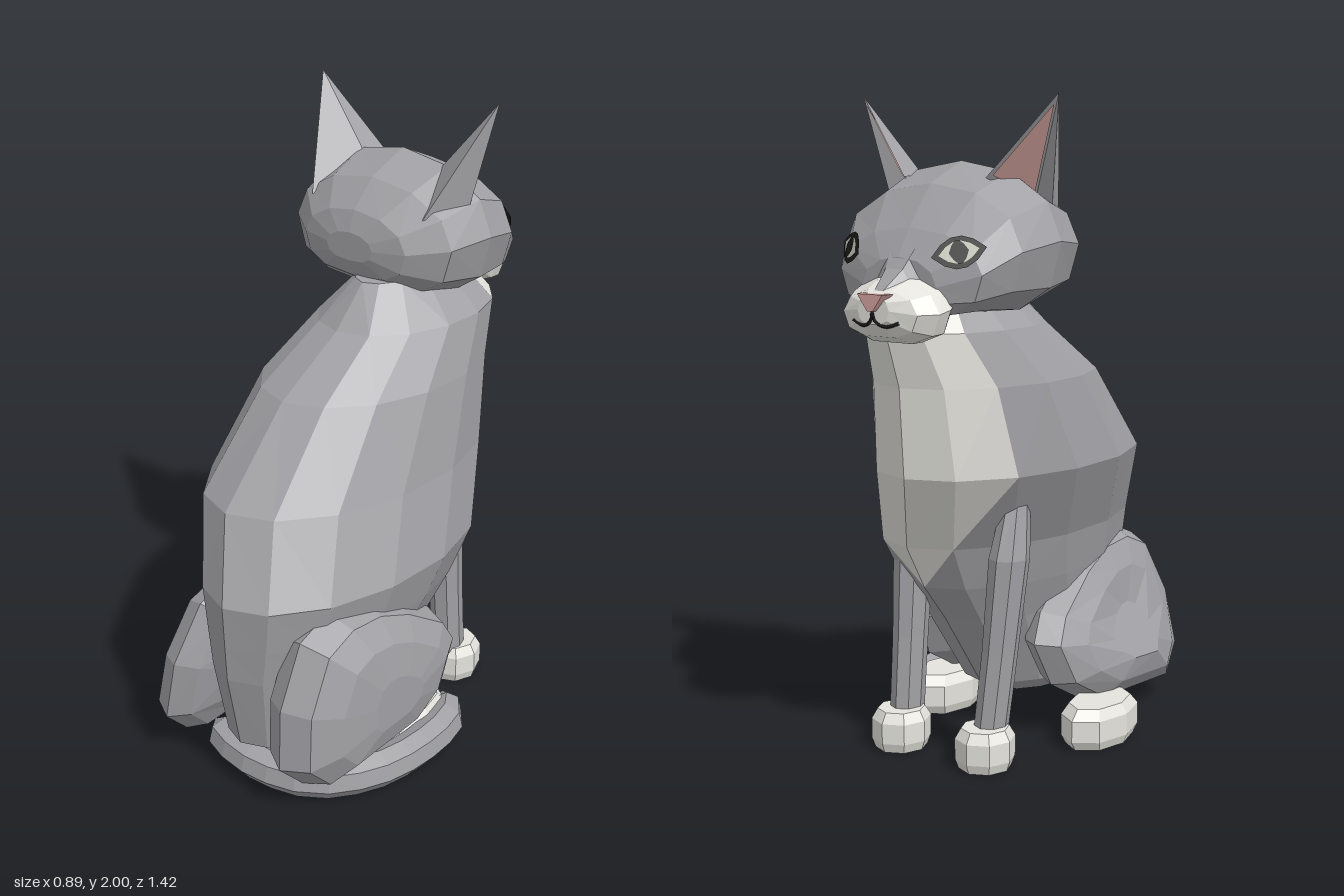
import * as THREE from 'three';

const mat = (name, color, side = THREE.FrontSide) => {
  const m = new THREE.MeshStandardMaterial({ color, side });
  m.name = name;
  return m;
};
const HX = -0.09; // head centre line

// Horizontal ring, counter-clockwise from above, starting at +z
const ringY = (n, y, cx, cz, rx, rz) => Array.from({ length: n }, (_, j) => {
  const t = (j / n) * Math.PI * 2;
  return [cx + rx * Math.sin(t), y, cz + rz * Math.cos(t)];
});
// Upright ring facing z, with a fuller lower half for cheeks and jaw
const ringZ = (n, z, cx, cy, rx, ry) => Array.from({ length: n }, (_, j) => {
  const t = (j / n) * Math.PI * 2, c = Math.cos(t), s = Math.sin(t);
  const full = (v) => (s < -0.01 ? Math.sign(v) * Math.abs(v) ** 0.75 : v);
  return [cx + rx * full(c), cy + ry * full(s), z];
});

// Faceted, capped skin through rings; isSecond picks triangles for the second material
function loft(rings, isSecond = () => false, flip = false) {
  const parts = [[], []];
  const tri = (k, a, b, c) => parts[k].push(...a, ...(flip ? c : b), ...(flip ? b : c));
  const n = rings[0].length;
  const mid = (r) => [0, 1, 2].map((k) => r.reduce((s, p) => s + p[k], 0) / n);
  for (let i = 0; i < rings.length - 1; i++) {
    for (let j = 0; j < n; j++) {
      const q = (j + 1) % n, low = isSecond(i, j, false) ? 1 : 0, top = isSecond(i, j, true) ? 1 : 0;
      const a = rings[i][j], b = rings[i][q], c = rings[i + 1][q], d = rings[i + 1][j];
      // diagonals mirror across the middle
      tri(low, a, b, j < n / 2 ? d : c);
      tri(top, j < n / 2 ? b : a, c, d);
    }
  }
  const first = rings[0], last = rings[rings.length - 1], c0 = mid(first), c1 = mid(last);
  for (let j = 0; j < n; j++) {
    const q = (j + 1) % n;
    tri(0, c0, first[q], first[j]);
    tri(0, c1, last[j], last[q]);
  }
  const g = new THREE.BufferGeometry();
  g.setAttribute('position', new THREE.Float32BufferAttribute([...parts[0], ...parts[1]], 3));
  g.addGroup(0, parts[0].length / 3, 0);
  g.addGroup(parts[0].length / 3, parts[1].length / 3, 1);
  g.computeVertexNormals();
  return g;
}

function triangles(points) {
  const g = new THREE.BufferGeometry();
  g.setAttribute('position', new THREE.Float32BufferAttribute(points.flatMap((p) => p.toArray()), 3));
  g.computeVertexNormals();
  return g;
}

export function createModel() {
  const grey = mat('grey fur', 0xa1a0a4);
  const earGrey = mat('grey ear fur', 0xa1a0a4, THREE.DoubleSide);
  const white = mat('white fur', 0xe4e3dd);
  const pink = mat('pink skin', 0xd5a5a0, THREE.DoubleSide);
  const black = mat('black', 0x1b1b19, THREE.DoubleSide);
  const pale = mat('pale eye', 0xc8cabb, THREE.DoubleSide);

  const cat = new THREE.Group();
  cat.name = 'sittingCat';
  const add = (name, geo, material, parent = cat) => {
    const m = new THREE.Mesh(geo, material);
    m.name = name;
    parent.add(m);
    return m;
  };

  // Body: y, centre x, half width, front z, back z
  const bodyRings = [
    [0.1, 0.03, 0.14, 0.08, 0.55], [0.15, 0.03, 0.19, -0.02, 0.64], [0.4, 0.035, 0.24, -0.2, 0.69],
    [0.52, 0.04, 0.275, -0.3, 0.7], [0.66, 0.045, 0.31, -0.38, 0.71], [0.9, -0.04, 0.335, -0.5, 0.6],
    [1.17, -0.045, 0.295, -0.525, 0.34], [1.33, -0.03, 0.235, -0.565, 0.11], [1.46, -0.02, 0.11, -0.45, 0],
  ].map(([y, cx, w, f, b]) => ringY(14, y, cx, (f + b) / 2, w, (b - f) / 2));
  // White chest, tapering to a point between the front legs
  const chest = (i, j, top) => {
    const inner = j === 6 || j === 7, outer = j === 5 || j === 8;
    return (inner && (i >= 4 || (i === 3 && top))) || (outer && (i >= 5 || (i === 4 && top)));
  };
  add('body', loft(bodyRings, chest), [grey, white]);

  // Haunches: side outline (z, y), scaled across the thickness; the right one leans out
  const outline = [[0.7, 0.18], [0.69, 0.38], [0.6, 0.57], [0.48, 0.62], [0.34, 0.61], [0.19, 0.55],
    [0, 0.43], [-0.06, 0.34], [0, 0.2], [0.16, 0.11], [0.6, 0.08]];
  for (const s of [1, -1]) {
    const drop = s < 0 ? 0.02 : 0;
    const rings = [[0.1, 0.6], [0.17, 0.88], [0.25, 1], [0.34, 0.9], [0.39, 0.65], [0.41, 0.3]].map(([x, k]) =>
      outline.map(([z, y]) => [s > 0 ? x : -0.015 - x * 0.82 + (y - 0.25) * 0.18,
        0.3 + (y - 0.3) * k - drop, 0.33 + (z - 0.33) * k]));
    add(s > 0 ? 'leftHaunch' : 'rightHaunch', loft(rings, undefined, s > 0), grey);
  }

  // Paws
  const paw = (name, x, z, rx, rz, h) => add(name, loft([[0, 0.88], [0.03, 1], [h * 0.75, 1], [h, 0.8]]
    .map(([y, k]) => ringY(8, y, x, z, rx * k, rz * k))), white);
  paw('hindPaw', -0.345, 0.105, 0.1, 0.165, 0.13);
  paw('hindPaw', 0.25, 0.105, 0.1, 0.165, 0.13);

  // Front legs, from paw to shoulder
  for (const [top, foot] of [[-0.23, -0.19], [0.13, 0.13]]) {
    const rings = [[0.1, 0, 0.05, -0.275, 0.06], [0.35, 0.5, 0.052, -0.255, 0.062], [0.64, 1, 0.06, -0.235, 0.068],
      [0.8, 1, 0.04, -0.2, 0.05]];
    add('frontLeg', loft(rings.map(([y, k, rx, z, rz]) => ringY(8, y, foot + (top - foot) * k, z, rx, rz))), grey);
    paw('frontPaw', foot, -0.305, 0.09, 0.097, 0.125);
  }

  // Tail curled round one side, tapered to closed ends
  const path = new THREE.CatmullRomCurve3([[-0.2, 0.075, 0.52], [0.02, 0.068, 0.59], [0.24, 0.066, 0.55],
    [0.355, 0.066, 0.4], [0.385, 0.066, 0.2], [0.35, 0.066, 0.02], [0.25, 0.066, -0.09]]
    .map((p) => new THREE.Vector3(...p)));
  const steps = 14;
  const tail = new THREE.TubeGeometry(path, steps, 0.062, 7);
  const tp = tail.attributes.position, v = new THREE.Vector3();
  for (let i = 0; i < tp.count; i++) {
    const ring = Math.floor(i / 8), c = path.getPointAt(ring / steps);
    const k = ring === 0 || ring === steps ? 0.02 : ring === steps - 1 ? 0.8 : 1;
    v.fromBufferAttribute(tp, i).sub(c).multiplyScalar(k).add(c);
    tp.setXYZ(i, v.x, v.y, v.z);
  }
  const flatTail = tail.toNonIndexed();
  flatTail.computeVertexNormals();
  add('tail', flatTail, grey);

  // Skull, muzzle and nose bridge: z, centre y, half width, half height
  const head = new THREE.Group();
  head.name = 'head';
  cat.add(head);
  const headPart = (name, n, rows, material) => add(name,
    loft(rows.map(([z, y, rx, ry]) => ringZ(n, z, HX, y, rx, ry))), material, head);
  headPart('skull', 12, [[-0.58, 1.47, 0.13, 0.08], [-0.53, 1.505, 0.25, 0.125], [-0.43, 1.565, 0.315, 0.185],
    [-0.28, 1.59, 0.345, 0.222], [-0.13, 1.575, 0.31, 0.175], [-0.045, 1.56, 0.2, 0.105], [-0.02, 1.555, 0.09, 0.045]], grey);
  headPart('muzzle', 10, [[-0.695, 1.41, 0.055, 0.04], [-0.665, 1.4, 0.13, 0.068], [-0.61, 1.4, 0.165, 0.09],
    [-0.565, 1.41, 0.17, 0.1], [-0.5, 1.43, 0.14, 0.06]], white);
  headPart('noseBridge', 6, [[-0.682, 1.435, 0.025, 0.02], [-0.6, 1.47, 0.06, 0.055], [-0.53, 1.54, 0.11, 0.09]], grey);

  // Nose: small wedge, wide at the top
  add('nose', loft([[-0.71, 0.8], [-0.675, 1]].map(([z, k]) =>
    [[0.055, 1.455], [-0.055, 1.455], [-0.012, 1.408], [0.012, 1.408]].map(([x, y]) => [HX + x * k, y, z]))), pink, head);

  // Mouth: two curved strokes under the nose
  for (const s of [1, -1]) {
    const lip = new THREE.CatmullRomCurve3([[0, 1.41, -0.7], [0.008, 1.38, -0.697], [0.04, 1.366, -0.69], [0.08, 1.378, -0.682]]
      .map(([x, y, z]) => new THREE.Vector3(HX + s * x, y, z)));
    add('mouth', new THREE.TubeGeometry(lip, 8, 0.005, 4), black, head);
  }

  for (const s of [1, -1]) {
    // Hollow ear: grey shell folded round a recessed pink face
    const P = (x, y, z) => new THREE.Vector3(HX + s * x, y, z);
    const tip = P(0.347, 2, -0.3), inner = P(0.145, 1.765, -0.365), heel = P(0.15, 1.77, -0.27);
    const back = P(0.22, 1.66, -0.1), outer = P(0.288, 1.68, -0.24), fold = P(0.205, 1.7, -0.2);
    add('ear', triangles([inner, heel, tip, heel, back, tip, back, outer, tip, outer, fold, tip, fold, inner, tip]), earGrey, head);
    const n = inner.clone().sub(fold).cross(tip.clone().sub(fold)).normalize();
    if (n.x * s < 0) n.negate();
    const centre = inner.clone().add(fold).add(tip).divideScalar(3);
    add('innerEar', triangles([inner, fold, tip].map((p) =>
      p.clone().lerp(centre, 0.16).addScaledVector(n, 0.004))), pink, head);

    // Eye: dark almond, pale iris, upright pupil
    const eye = new THREE.Group();
    eye.name = 'eye';
    eye.position.copy(P(0.19, 1.568, -0.555));
    eye.lookAt(eye.position.clone().add(new THREE.Vector3(s * 0.5, 0.3, -0.8)));
    head.add(eye);
    const almond = (name, w, h, z, material) => {
      const shape = new THREE.Shape();
      shape.moveTo(-w, 0).quadraticCurveTo(0, h * 2, w, 0).quadraticCurveTo(0, -h * 2, -w, 0);
      const m = add(name, new THREE.ShapeGeometry(shape, 5), material, eye);
      m.position.z = z;
      m.rotation.z = -s * 0.2;
    };
    almond('eyeRim', 0.078, 0.047, 0, black);
    almond('iris', 0.057, 0.032, 0.003, pale);
    almond('pupil', 0.028, 0.034, 0.006, black);
  }
  return cat;
}
